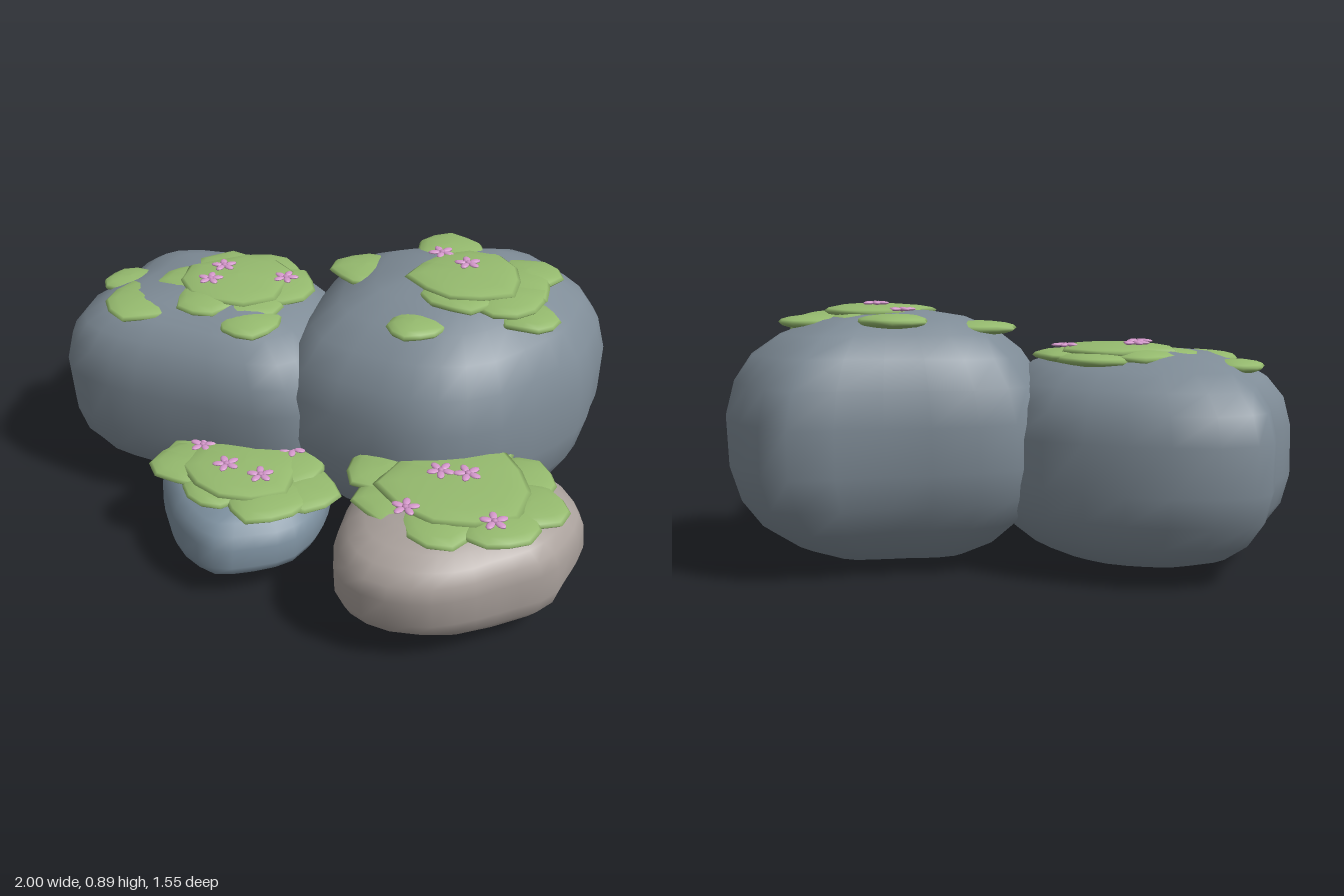
import * as THREE from 'three';

const material = (name, color) => Object.assign(new THREE.MeshStandardMaterial({ color }), { name });

// Repeatable small variation in -1..1
const wobble = (a, b) => Math.sin(a * 12.99 + b * 78.23) * Math.cos(a * 4.1 - b * 3.7);

// Boulder: a rounded plan outline (from +x towards +z) swept over a superellipse profile
function rockGeometry({ outline, y0, y1, centre, power, lean, seed }) {
  const curve = new THREE.CatmullRomCurve3(
    outline.map(([x, z]) => new THREE.Vector3(x, 0, z)), true, 'centripetal');
  const sides = 28, rings = 12;
  const plan = curve.getPoints(sides).slice(0, sides);
  const [cx, cz] = centre, cy = (y0 + y1) / 2, h = (y1 - y0) / 2;
  const pos = [], index = [];
  for (let j = 0; j < rings; j++) {
    const a = ((j + 0.5) / rings - 0.5) * Math.PI;
    const r = Math.cos(a) ** power;
    const y = cy + h * Math.sign(a) * Math.abs(Math.sin(a)) ** power;
    plan.forEach((p, i) => {
      const k = i >> 1;
      const s = r * (1 - 0.02 * (1 + wobble(k + seed, j >> 1)));
      const lift = 0.014 * wobble(k * 0.7, j + seed) * r;
      pos.push(cx + (p.x - cx) * s, y + lift, cz + (p.z - cz) * s + lean * (y - cy));
    });
  }
  pos.push(cx, y0, cz - lean * h, cx, y1, cz + lean * h);
  const bottom = rings * sides, top = bottom + 1, last = bottom - sides;
  for (let i = 0; i < sides; i++) {
    const n = (i + 1) % sides;
    for (let j = 0; j < rings - 1; j++) {
      const a = j * sides + i, b = j * sides + n, c = a + sides, d = b + sides;
      index.push(a, c, b, b, c, d);
    }
    index.push(bottom, i, n, top, last + n, last + i);
  }
  const geometry = new THREE.BufferGeometry();
  geometry.setAttribute('position', new THREE.Float32BufferAttribute(pos, 3));
  geometry.setIndex(index);
  geometry.computeVertexNormals();
  return geometry;
}

// Moss pad: a flattened lens with an uneven rim
const PAD_HEIGHT = 0.024;
function mossGeometry(radius, seed) {
  const geometry = new THREE.SphereGeometry(1, 11, 8);
  const p = geometry.attributes.position;
  for (let i = 0; i < p.count; i++) {
    const x = p.getX(i), z = p.getZ(i), a = Math.atan2(z, x);
    const s = radius * (1 + 0.07 * Math.sin(3 * a + seed) + 0.05 * Math.sin(5 * a + seed * 2.3));
    p.setXYZ(i, x * s, p.getY(i) * PAD_HEIGHT, z * s);
  }
  geometry.computeVertexNormals();
  return geometry;
}

function addMesh(parent, name, geometry, mat, x = 0, y = 0, z = 0) {
  const mesh = new THREE.Mesh(geometry, mat);
  mesh.name = name;
  mesh.position.set(x, y, z);
  parent.add(mesh);
  return mesh;
}

// Moss patch: one main pad, an oval ring of smaller pads, and a few strays [x, y, z, radius]
function addMoss(group, mat, { x, z, y, radius, ringY, ringX, ringZ, ringRadius, count, strays = [] }) {
  const pads = [[x, y, z, radius], ...strays];
  for (let i = 0; i < count; i++) {
    const a = (i / count) * Math.PI * 2 + x;
    pads.push([x + Math.cos(a) * ringX, ringY + 0.008 * wobble(i, x), z + Math.sin(a) * ringZ,
      ringRadius * (1 + 0.12 * wobble(i, z))]);
  }
  pads.forEach(([px, py, pz, r], i) => addMesh(group, 'mossPad', mossGeometry(r, x + i * 1.7), mat, px, py, pz));
}

// Five-petalled flower resting on the moss patch
function addFlower(group, materials, { x, z, y, radius, ringY }, [fx, fz], turn) {
  const d = Math.min(1, Math.hypot(fx - x, fz - z) / radius);
  const flower = new THREE.Group();
  flower.name = 'flower';
  flower.position.set(fx, Math.max(y + PAD_HEIGHT * Math.sqrt(1 - d * d), ringY + PAD_HEIGHT) + 0.004, fz);
  flower.rotation.y = turn;
  group.add(flower);
  addMesh(flower, 'flowerHeart', new THREE.SphereGeometry(1, 8, 5).scale(0.011, 0.008, 0.011), materials.heart);
  const petalGeometry = new THREE.SphereGeometry(1, 8, 5).scale(0.021, 0.006, 0.013);
  for (let k = 0; k < 5; k++) {
    const a = (k / 5) * Math.PI * 2;
    const petal = addMesh(flower, 'petal', petalGeometry, materials.petal,
      Math.cos(a) * 0.026, 0, -Math.sin(a) * 0.026);
    petal.rotation.y = a;
  }
}

export function createModel() {
  const materials = {
    slate: material('slate', 0x7f8c97),
    blueGrey: material('blueGrey', 0x7d909f),
    tan: material('tan', 0xaaa19c),
    moss: material('moss', 0x95ba6e),
    petal: material('petal', 0xd598cc),
    heart: material('flowerHeart', 0xc68abc),
  };
  const model = new THREE.Group();
  model.name = 'mossyRocks';

  const addRock = (name, mat, shape, moss, flowers) => {
    const group = new THREE.Group();
    group.name = name;
    model.add(group);
    addMesh(group, 'stone', rockGeometry(shape), mat);
    addMoss(group, materials.moss, moss);
    flowers.forEach((spot, i) => addFlower(group, materials, moss, spot, shape.seed + i));
  };

  addRock('leftBoulder', materials.slate, {
    y0: 0.025, y1: 0.735, centre: [-0.48, 0.04], power: 0.73, lean: 0.04, seed: 1,
    outline: [[0.07, 0.08], [0.01, 0.34], [-0.45, 0.46], [-0.79, 0.49], [-0.97, 0.3], [-0.98, 0],
      [-1, -0.25], [-0.62, -0.41], [-0.18, -0.32]],
  }, {
    x: -0.42, z: 0.01, y: 0.732, radius: 0.2, ringY: 0.714, ringX: 0.14, ringZ: 0.15, ringRadius: 0.13, count: 6,
    strays: [[-0.81, 0.678, 0.13, 0.095], [-0.64, 0.695, 0.25, 0.15], [-0.24, 0.697, 0.2, 0.11]],
  }, [[-0.5, -0.02], [-0.48, 0.09], [-0.27, -0.07]]);

  addRock('largeBoulder', materials.slate, {
    y0: 0.005, y1: 0.865, centre: [0.28, -0.22], power: 0.84, lean: -0.05, seed: 5,
    outline: [[0.79, -0.15], [0.61, 0.2], [0.37, 0.33], [-0.05, 0.28], [-0.22, -0.08], [-0.23, -0.36],
      [0.11, -0.6], [0.46, -0.8], [0.73, -0.62], [0.79, -0.42]],
  }, {
    x: 0.37, z: -0.21, y: 0.858, radius: 0.19, ringY: 0.832, ringX: 0.17, ringZ: 0.1, ringRadius: 0.13, count: 6,
    strays: [[0.2, 0.835, -0.41, 0.12], [0.51, 0.825, -0.38, 0.12], [0, 0.805, -0.17, 0.12],
      [0.62, 0.785, -0.17, 0.1], [0.33, 0.79, 0.08, 0.095]],
  }, [[0.22, -0.31], [0.35, -0.25]]);

  addRock('smallFrontRock', materials.blueGrey, {
    y0: 0.04, y1: 0.31, centre: [-0.11, 0.44], power: 0.7, lean: -0.1, seed: 9,
    outline: [[0.19, 0.4], [0.19, 0.58], [0, 0.78], [-0.28, 0.66], [-0.42, 0.46], [-0.3, 0.18], [0.05, 0.16]],
  }, {
    x: -0.09, z: 0.46, y: 0.315, radius: 0.2, ringY: 0.296, ringX: 0.21, ringZ: 0.12, ringRadius: 0.13, count: 7,
  }, [[0, 0.31], [-0.13, 0.51], [0, 0.5], [-0.28, 0.44]]);

  addRock('tanRock', materials.tan, {
    y0: 0.035, y1: 0.415, centre: [0.64, 0.34], power: 0.66, lean: 0.12, seed: 14,
    outline: [[1, 0.35], [0.87, 0.58], [0.69, 0.74], [0.43, 0.74], [0.29, 0.38], [0.45, 0],
      [0.7, -0.07], [0.97, 0.07]],
  }, {
    x: 0.62, z: 0.31, y: 0.42, radius: 0.24, ringY: 0.397, ringX: 0.24, ringZ: 0.18, ringRadius: 0.13, count: 8,
  }, [[0.56, 0.31], [0.64, 0.28], [0.81, 0.44], [0.55, 0.52]]);

  return model;
}
